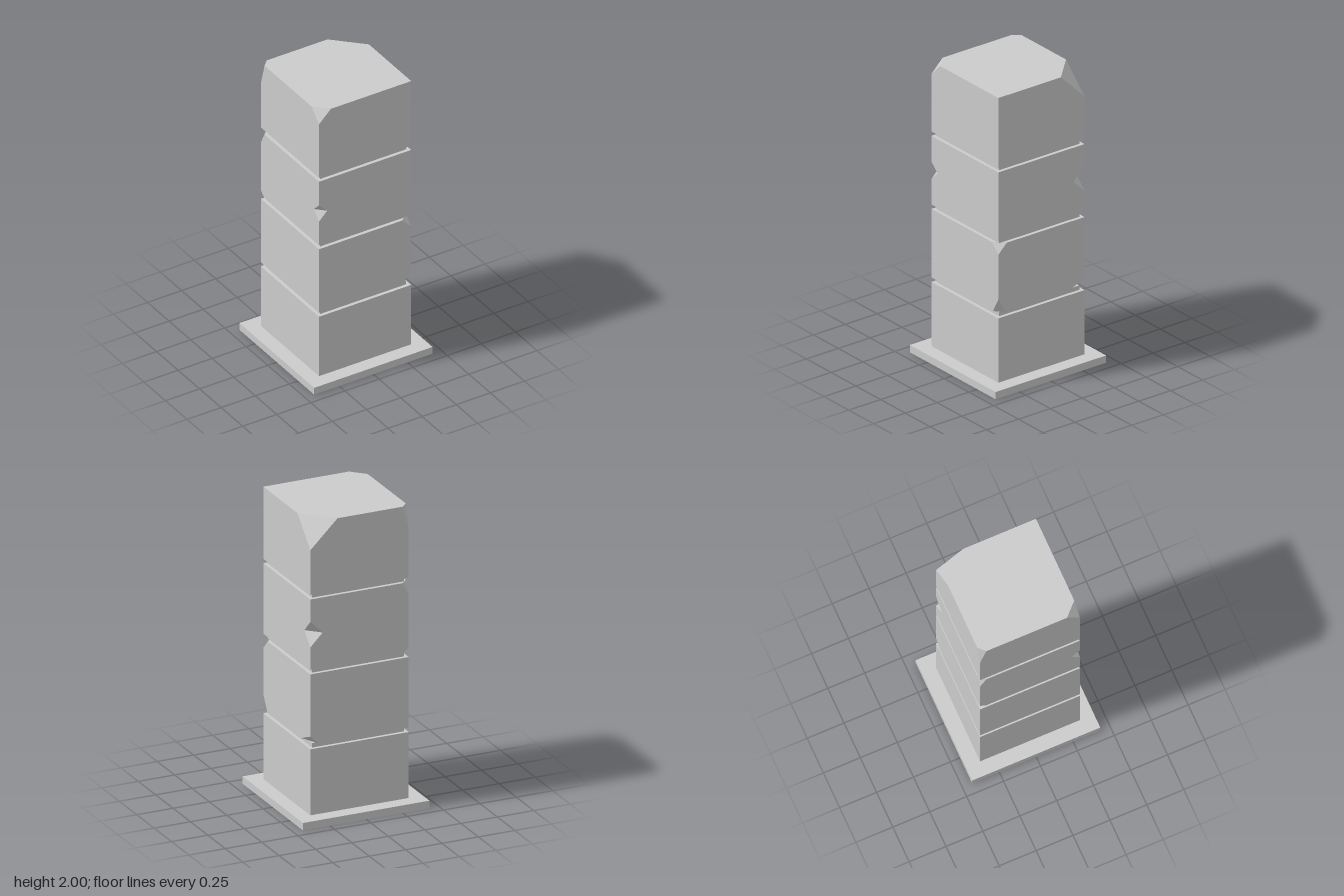
import * as THREE from 'three';

const HALF = 0.338; // half width of a block
const CORNERS = [[1, 1], [1, -1], [-1, -1], [-1, 1]]; // signs of x and z

const material = new THREE.MeshStandardMaterial({ color: 0xcccccc, flatShading: true });

// A square block with chipped corners. Each chip sits at the bottom, middle or
// top of one upright edge: dx, dz are its insets, dy its (half) height.
function chippedBlock(y0, y1, chips) {
  const mid = (y0 + y1) / 2;
  const positions = [];
  const find = (c, at) => chips.find((k) => k.at === at && k.sx === c[0] && k.sz === c[1]);
  const point = (c, ix, iz, y) => new THREE.Vector3(c[0] * (HALF - ix), y, c[1] * (HALF - iz));

  // Triangulate a flat polygon and turn its triangles outward
  function addFace(points, project) {
    for (const tri of THREE.ShapeUtils.triangulateShape(points.map(project), [])) {
      const [a, b, c] = tri.map((i) => points[i]);
      const normal = b.clone().sub(a).cross(c.clone().sub(a));
      const outward = a.clone().add(b).add(c).divideScalar(3).sub(new THREE.Vector3(0, mid, 0));
      const order = normal.dot(outward) > 0 ? [a, b, c] : [a, c, b];
      order.forEach((p) => positions.push(p.x, p.y, p.z));
    }
  }

  // Outline of one upright edge, bottom to top, within the x or z facing side
  function edge(c, facesX) {
    const inset = (k, y) => (facesX ? point(c, 0, k.dz, y) : point(c, k.dx, 0, y));
    const low = find(c, 'bottom'), notch = find(c, 'middle'), high = find(c, 'top');
    const line = [];
    if (low) line.push(inset(low, y0), point(c, 0, 0, y0 + low.dy));
    else line.push(point(c, 0, 0, y0));
    if (notch) line.push(point(c, 0, 0, mid - notch.dy), inset(notch, mid), point(c, 0, 0, mid + notch.dy));
    if (high) line.push(point(c, 0, 0, y1 - high.dy), inset(high, y1));
    else line.push(point(c, 0, 0, y1));
    return line;
  }

  // Four sides
  CORNERS.forEach((a, i) => {
    const b = CORNERS[(i + 1) % 4];
    const facesX = a[0] === b[0];
    addFace([...edge(a, facesX), ...edge(b, facesX).reverse()],
      (p) => new THREE.Vector2(facesX ? p.z : p.x, p.y));
  });

  // Top and bottom
  for (const [at, y] of [['bottom', y0], ['top', y1]]) {
    const outline = CORNERS.flatMap((c) => {
      const k = find(c, at);
      if (!k) return [point(c, 0, 0, y)];
      const pair = [point(c, k.dx, 0, y), point(c, 0, k.dz, y)];
      return c[0] === c[1] ? pair : pair.reverse();
    });
    addFace(outline, (p) => new THREE.Vector2(p.x, p.z));
  }

  // Chip surfaces: one triangle at an end, two for a notch in the middle
  for (const k of chips) {
    const c = [k.sx, k.sz];
    const y = { bottom: y0, middle: mid, top: y1 }[k.at];
    const tips = { bottom: [k.dy], middle: [k.dy, -k.dy], top: [-k.dy] }[k.at];
    for (const t of tips) {
      addFace([point(c, k.dx, 0, y), point(c, 0, k.dz, y), point(c, 0, 0, y + t)],
        (p) => new THREE.Vector2(p.x * k.sx - p.z * k.sz, p.y));
    }
  }

  const geometry = new THREE.BufferGeometry();
  geometry.setAttribute('position', new THREE.Float32BufferAttribute(positions, 3));
  geometry.computeVertexNormals();
  return geometry;
}

const chip = (at, sx, sz, dx, dz, dy) => ({ at, sx, sz, dx, dz, dy });

export function createModel() {
  const group = new THREE.Group();
  const add = (name, geometry, y = 0) => {
    const mesh = new THREE.Mesh(geometry, material);
    mesh.name = name;
    mesh.position.y = y;
    group.add(mesh);
  };

  // Base plate
  add('basePlate', new THREE.BoxGeometry(0.868, 0.05, 0.868), 0.025);

  // Stacked blocks
  add('bottomBlock', chippedBlock(0.05, 0.49, []));
  add('lowerBlock', chippedBlock(0.52, 0.99, [
    chip('top', 1, 1, 0.065, 0.065, 0.065),
    chip('bottom', 1, 1, 0.055, 0.055, 0.1),
    chip('bottom', 1, -1, 0.057, 0.127, 0.055),
  ]));
  add('upperBlock', chippedBlock(1.02, 1.49, [
    chip('middle', -1, 1, 0.06, 0.06, 0.06),
    chip('middle', 1, -1, 0.085, 0.085, 0.085),
    chip('top', -1, -1, 0.043, 0.043, 0.085),
    chip('bottom', -1, -1, 0.04, 0.04, 0.035),
  ]));
  add('topBlock', chippedBlock(1.52, 2, [
    chip('top', 1, -1, 0.187, 0.185, 0.182),
    chip('top', -1, -1, 0.043, 0.043, 0.16),
    chip('top', -1, 1, 0.087, 0.087, 0.085),
  ]));

  // Recessed joints between blocks
  for (const y of [0.505, 1.005, 1.505]) {
    add('joint', new THREE.BoxGeometry(0.63, 0.03, 0.63), y);
  }
  return group;
}
